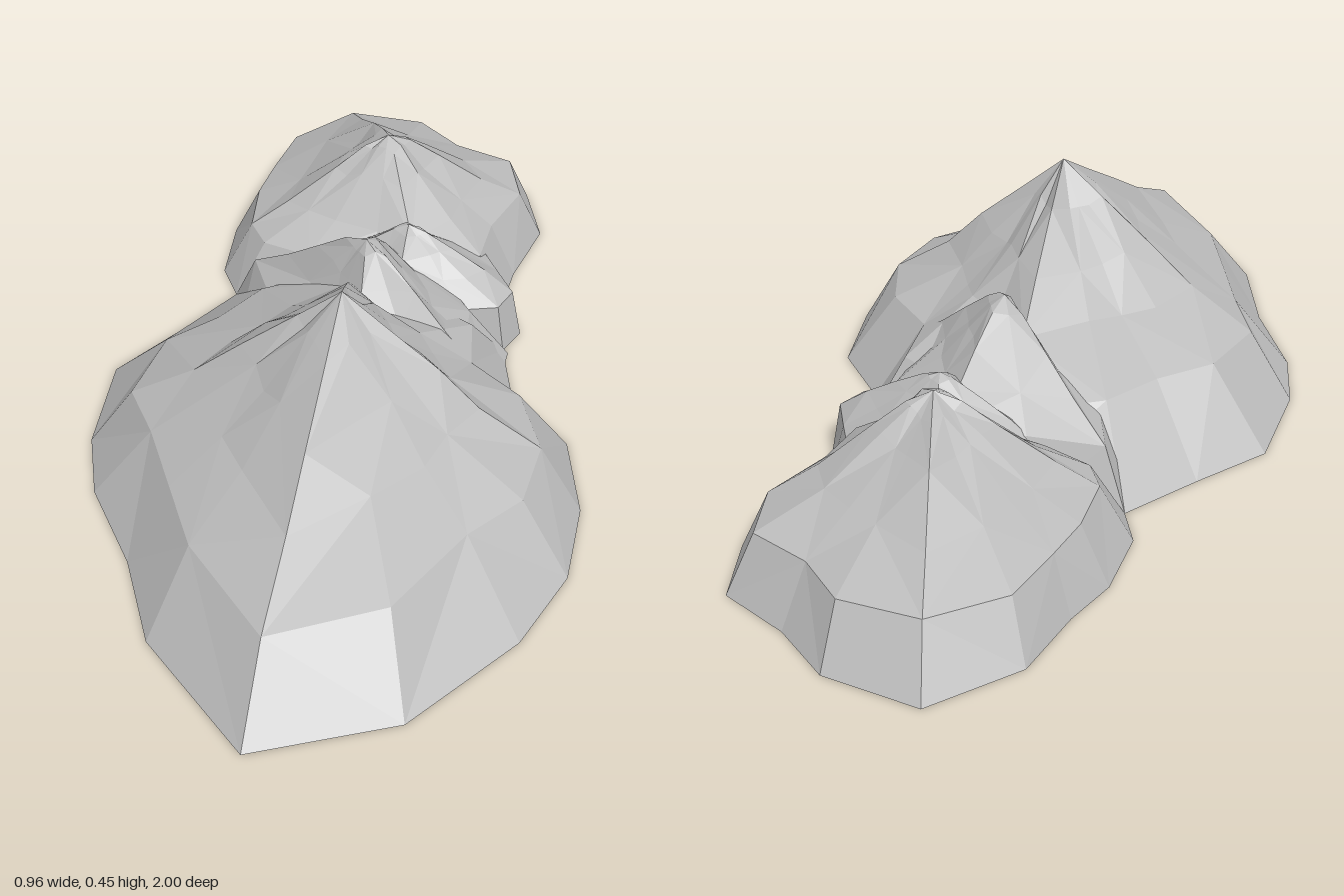
import * as THREE from 'three';

const rock = new THREE.MeshStandardMaterial({ color: 0xbcbcbc, side: THREE.DoubleSide, flatShading: true });
rock.name = 'grey rock';

// Seeded noise in -1..1
function makeNoise(seed) {
  let s = seed;
  return () => {
    s = (s * 16807) % 2147483647;
    return (s / 2147483647) * 2 - 1;
  };
}

// How far along the line from the summit to rim point i the straight chord
// between the two neighbouring ridges is crossed (1 on a ridge itself).
function chordFraction(rim, ridges, i, ax, az) {
  if (ridges.includes(i)) return 1;
  const before = ridges.filter((r) => r < i).pop() ?? ridges[ridges.length - 1];
  const after = ridges.find((r) => r > i) ?? ridges[0];
  const [p, q, d] = [before, after, i].map((k) => [rim[k][0] - ax, rim[k][1] - az]);
  const cross = (a, b) => a[0] * b[1] - a[1] * b[0];
  const e = [q[0] - p[0], q[1] - p[1]];
  return Math.min(1, cross(p, e) / cross(d, e));
}

// A faceted, open-bottomed peak: the base outline [x, z] is drawn in towards
// the summit through rings of [radius fraction, height fraction, flatness],
// where flatness pulls the faces between the ridges in towards flat planes.
function peak(name, [ax, ay, az], rim, ridges, profile, rough, seed) {
  const noise = makeNoise(seed);
  const n = rim.length;
  const rings = [rim.map(([x, z]) => [x, 0, z])];
  for (const [f, h, flat] of profile) {
    rings.push(rim.map(([x, z], i) => {
      const amount = ridges.includes(i) ? rough * 0.3 : rough;
      const chord = chordFraction(rim, ridges, i, ax, az);
      const k = f * (1 + (chord - 1) * flat) * (1 + noise() * amount);
      const y = ay * h * (1 + noise() * amount * 0.6);
      return [ax + (x - ax) * k, y, az + (z - az) * k];
    }));
  }
  const pos = [];
  const tri = (a, b, c) => pos.push(...a, ...b, ...c);
  for (let r = 0; r < rings.length - 1; r++) {
    for (let i = 0; i < n; i++) {
      const j = (i + 1) % n;
      const a = rings[r][i], b = rings[r][j], c = rings[r + 1][j], d = rings[r + 1][i];
      if ((i + r) % 2) { tri(a, b, c); tri(a, c, d); }
      else { tri(a, b, d); tri(b, c, d); }
    }
  }
  const top = rings[rings.length - 1];
  for (let i = 0; i < n; i++) tri(top[i], top[(i + 1) % n], [ax, ay, az]);

  const geo = new THREE.BufferGeometry();
  geo.setAttribute('position', new THREE.Float32BufferAttribute(pos, 3));
  geo.computeVertexNormals();
  const mesh = new THREE.Mesh(geo, rock);
  mesh.name = name;
  return mesh;
}

export function createModel() {
  const group = new THREE.Group();
  group.name = 'mountainRange';

  // Tall front mountain with four ridges
  group.add(peak('mainPeak', [0.02, 0.452, 0.28], [
    [-0.15, 1.0], [0.13, 0.93], [0.34, 0.73], [0.44, 0.56], [0.48, 0.37], [0.47, 0.17],
    [0.37, 0.02], [0.36, -0.14], [0.22, -0.28], [0.05, -0.36], [-0.21, -0.34],
    [-0.33, -0.2], [-0.45, -0.07], [-0.48, 0.16], [-0.46, 0.32], [-0.38, 0.52], [-0.33, 0.73],
  ], [0, 4, 9, 13], [[0.82, 0.31, 0.3], [0.57, 0.48, 0.7], [0.39, 0.655, 1], [0.17, 0.85, 1.1]], 0.06, 17));

  // Broad rear mountain
  group.add(peak('rearPeak', [0.12, 0.316, -0.49], [
    [0.08, -0.24], [0.2, -0.18], [0.36, -0.28], [0.4, -0.42], [0.47, -0.58], [0.45, -0.74],
    [0.32, -0.83], [0.22, -0.94], [0.03, -1.0], [-0.12, -0.86], [-0.17, -0.7],
    [-0.22, -0.59], [-0.24, -0.43], [-0.21, -0.34], [-0.08, -0.29],
  ], [1, 4, 8, 12], [[0.84, 0.37, 0.1], [0.6, 0.54, 0.5], [0.32, 0.78, 0.9], [0.14, 0.93, 1]], 0.06, 91));

  // Sharp ridge between them, with long spurs to both sides
  group.add(peak('middleRidge', [0.07, 0.316, -0.09], [
    [0.04, 0.13], [0.18, 0.1], [0.34, 0.13], [0.34, 0.0], [0.37, -0.13], [0.29, -0.27],
    [0.18, -0.36], [-0.03, -0.34], [-0.21, -0.34], [-0.2, -0.2], [-0.14, -0.08], [-0.07, 0.03],
  ], [0, 2, 6, 8], [[0.83, 0.38, 0.3], [0.58, 0.57, 0.7], [0.36, 0.76, 1], [0.15, 0.94, 1]], 0.05, 43));

  // Low crag on the right of the saddle
  group.add(peak('smallCrag', [0.16, 0.232, -0.27], [
    [0.12, -0.09], [0.28, -0.13], [0.36, -0.14], [0.4, -0.2], [0.38, -0.29], [0.35, -0.38],
    [0.24, -0.42], [0.14, -0.45], [0.0, -0.37], [-0.05, -0.29], [0.01, -0.17],
  ], [0, 3, 7, 9], [[0.92, 0.45, 0.1], [0.66, 0.64, 0.5], [0.4, 0.8, 0.9], [0.15, 0.94, 1]], 0.05, 71));

  return group;
}
